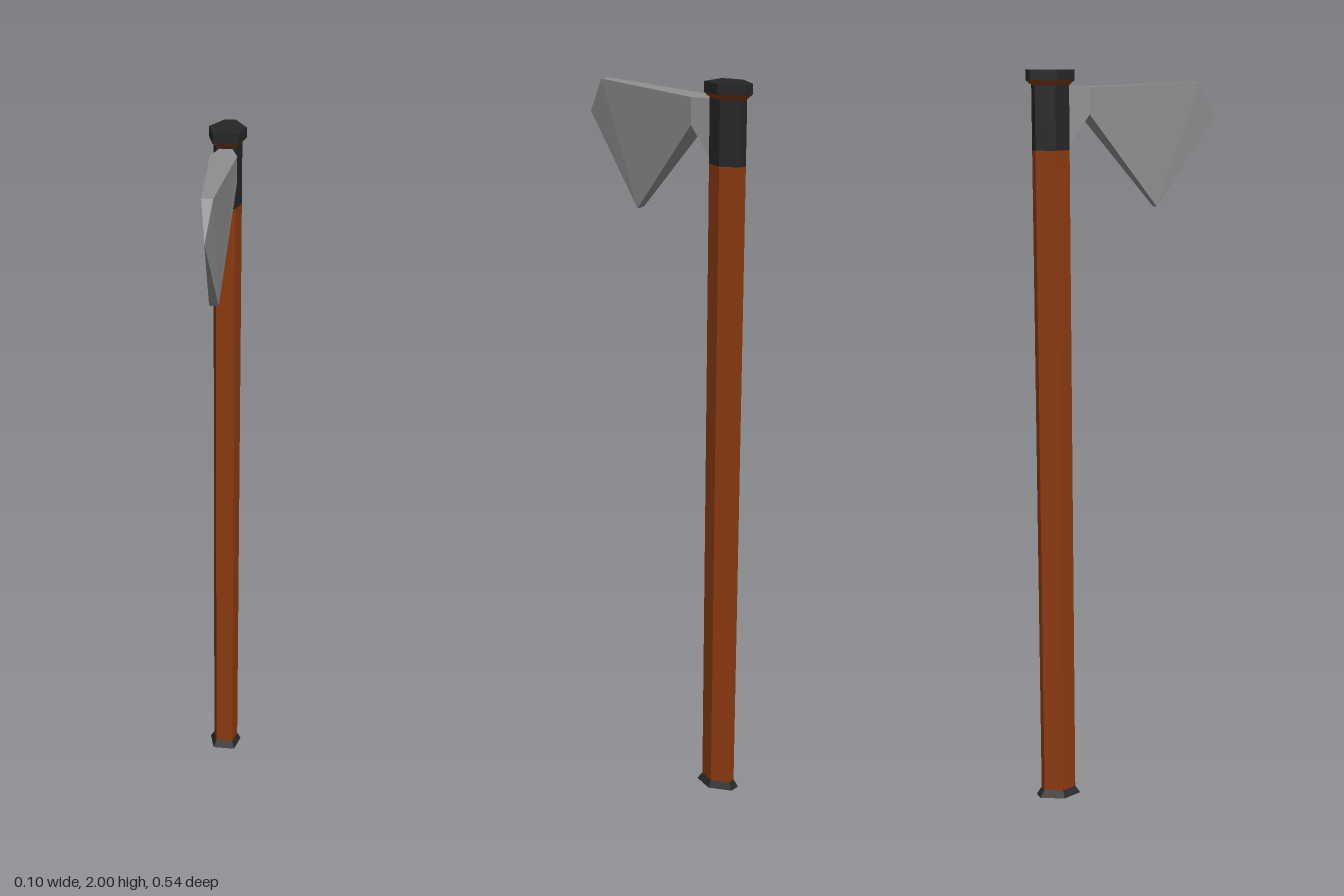
import * as THREE from 'three';

const mat = (color) => new THREE.MeshStandardMaterial({ color, flatShading: true });
const CZ = -0.21; // handle axis

// six-sided handle section: x, z offset from the axis
const SECTION = [[-0.014, -0.062], [0.014, -0.062], [0.048, -0.003], [0.033, 0.053], [-0.033, 0.053], [-0.048, -0.003]];

// upright prism of the handle section, scaled s0 at the bottom and s1 at the top
function prism(name, y0, y1, s0, s1, material) {
  const shape = new THREE.Shape(SECTION.map(([x, z]) => new THREE.Vector2(x, -z)));
  const geo = new THREE.ExtrudeGeometry(shape, { depth: 1, bevelEnabled: false }).rotateX(-Math.PI / 2);
  const p = geo.attributes.position;
  for (let i = 0; i < p.count; i++) {
    const t = p.getY(i);
    const s = s0 + (s1 - s0) * t;
    p.setXYZ(i, p.getX(i) * s, y0 + (y1 - y0) * t, p.getZ(i) * s + CZ);
  }
  geo.computeVertexNormals();
  const mesh = new THREE.Mesh(geo, material);
  mesh.name = name;
  return mesh;
}

// axe blade: side outline as z, y and half thickness, mirrored in x
function blade(material) {
  const outline = [
    [-0.17, 1.957, 0.016], [-0.116, 1.957, 0.034], [0.215, 1.967, 0.014], [0.27, 1.877, 0],
    [0.09, 1.645, 0.012], [-0.116, 1.889, 0.034], [-0.17, 1.804, 0.016],
  ];
  const pos = [];
  const put = (i, side) => pos.push(outline[i][2] * side, outline[i][1], outline[i][0]);
  // cheeks
  for (const [a, b, c] of [[0, 1, 5], [0, 5, 6], [1, 2, 4], [1, 4, 5], [2, 3, 4]]) {
    put(a, 1); put(b, 1); put(c, 1);
    put(a, -1); put(c, -1); put(b, -1);
  }
  // rim
  for (let i = 0; i < outline.length; i++) {
    const j = (i + 1) % outline.length;
    put(i, 1); put(i, -1); put(j, -1);
    put(i, 1); put(j, -1); put(j, 1);
  }
  const geo = new THREE.BufferGeometry();
  geo.setAttribute('position', new THREE.Float32BufferAttribute(pos, 3));
  geo.computeVertexNormals();
  const mesh = new THREE.Mesh(geo, material);
  mesh.name = 'blade';
  return mesh;
}

export function createModel() {
  const wood = mat(0x8b3a10);
  const dark = mat(0x262626);
  const steel = mat(0x909090);
  const group = new THREE.Group();
  group.name = 'axe';
  group.add(
    prism('bottomCap', 0, 0.02, 1, 0.77, [wood, dark]),
    prism('shaft', 0.02, 1.8, 0.77, 0.77, wood),
    prism('headBand', 1.8, 1.962, 0.77, 0.77, dark),
    prism('topCapUnderside', 1.962, 1.974, 0.77, 1, wood),
    prism('topCap', 1.974, 2, 1, 1, dark),
    blade(steel),
  );
  return group;
}
